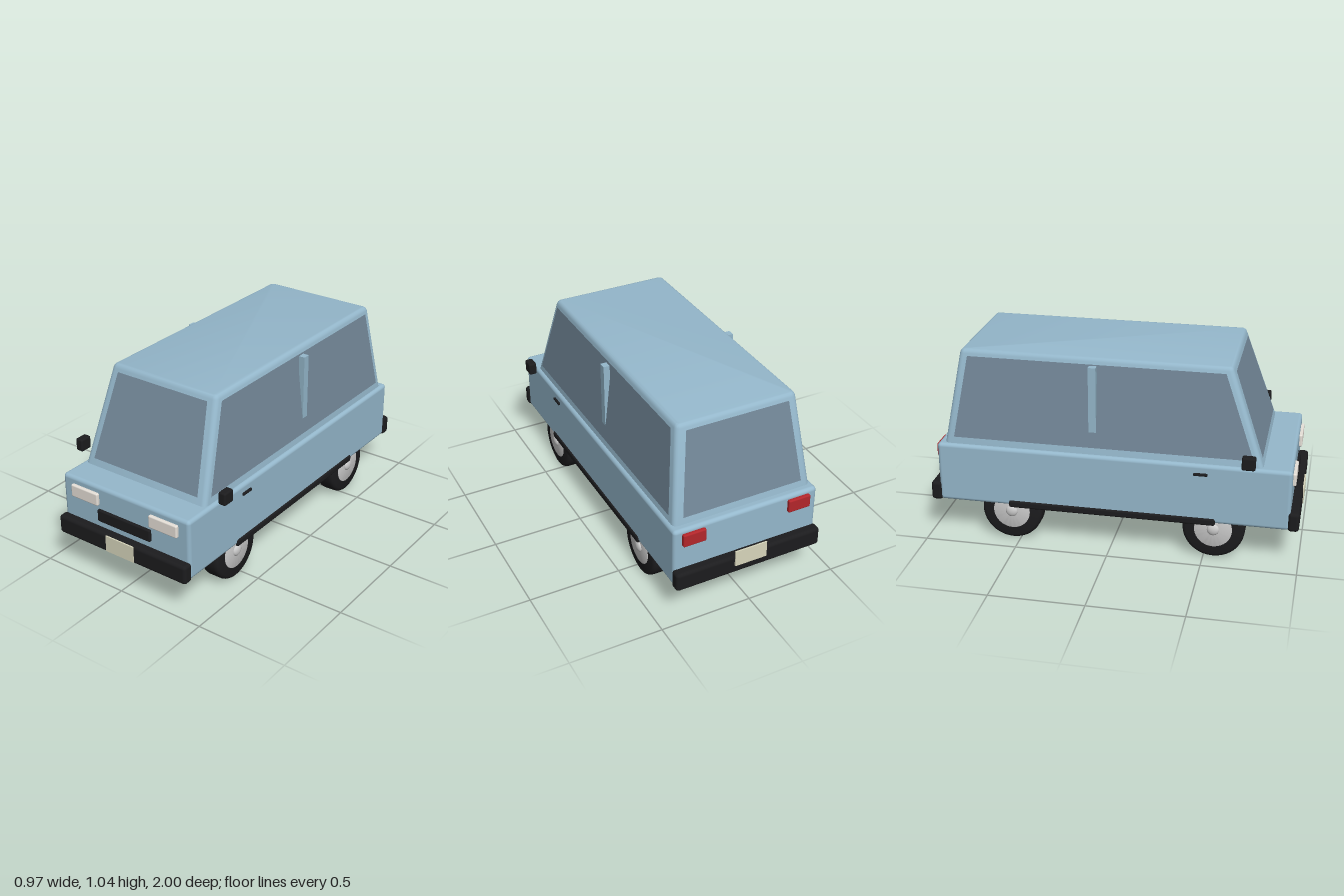
import * as THREE from 'three';
import { toCreasedNormals } from 'three/addons/utils/BufferGeometryUtils.js';
import { RoundedBoxGeometry } from 'three/addons/geometries/RoundedBoxGeometry.js';

const paint = (color, side = THREE.FrontSide) => new THREE.MeshStandardMaterial({ color, side });
const blue = paint(0x95b8cc), glass = paint(0x74899a, THREE.DoubleSide), black = paint(0x1c1c1e);
const cream = paint(0xe6e0d8), red = paint(0xb3262b), plateMat = paint(0xd8d6bc), grey = paint(0xcccccc);

// Cabin outline at a height: half width, front z, rear z
const Y0 = 0.52, Y1 = 1.025;
const cabinAt = (y) => {
  const t = (y - Y0) / (Y1 - Y0), mix = THREE.MathUtils.lerp;
  return { w: mix(0.39, 0.332, t), f: mix(0.8, 0.622, t), r: mix(-0.905, -0.815, t) };
};

// Sloped cabin: rounded rectangles stacked into a shell with a softened roof edge
function cabinGeometry() {
  const seg = 4, rings = [[Y0, 0], [Y1, 0], [1.037, 0.006], [1.043, 0.013], [1.045, 0.022]];
  const pos = [], index = [], n = 4 * (seg + 1);
  for (const [y, inset] of rings) {
    const c = cabinAt(Math.min(y, Y1)), w = c.w - inset, f = c.f - inset, r = c.r + inset;
    const rad = 0.026 - inset * 0.7;
    const corners = [[w, f], [w, r], [-w, r], [-w, f]];
    corners.forEach(([x, z], k) => {
      const cx = x - Math.sign(x) * rad, cz = z - (z > 0 ? rad : -rad);
      for (let i = 0; i <= seg; i++) {
        const a = Math.PI / 2 * (1 - k - i / seg);
        pos.push(cx + rad * Math.cos(a), y, cz + rad * Math.sin(a));
      }
    });
  }
  for (let j = 0; j < rings.length - 1; j++) {
    for (let i = 0; i < n; i++) {
      const a = j * n + i, b = j * n + (i + 1) % n;
      index.push(a, b, b + n, a, b + n, a + n);
    }
  }
  const top = (rings.length - 1) * n;
  for (let i = 1; i < n - 1; i++) index.push(top, top + i, top + i + 1);
  const g = new THREE.BufferGeometry();
  g.setAttribute('position', new THREE.Float32BufferAttribute(pos, 3));
  g.setIndex(index);
  return toCreasedNormals(g, 0.6);
}

// Flat four-cornered pane
function paneGeometry(corners) {
  const g = new THREE.BufferGeometry();
  g.setAttribute('position', new THREE.Float32BufferAttribute(corners.flat(), 3));
  g.setIndex([0, 1, 2, 0, 2, 3]);
  g.computeVertexNormals();
  return g;
}

// Wheel with its outer face towards +x
function makeWheel() {
  const wheel = new THREE.Group();
  const lathe = (name, points, mat) => {
    const g = new THREE.LatheGeometry(points.map((p) => new THREE.Vector2(...p)), 40);
    g.rotateZ(-Math.PI / 2);
    const m = new THREE.Mesh(toCreasedNormals(g, 0.7), mat);
    m.name = name;
    wheel.add(m);
  };
  lathe('tyre', [[0, -0.055], [0.145, -0.055], [0.157, -0.051], [0.163, -0.042], [0.165, -0.03],
    [0.165, 0.03], [0.163, 0.042], [0.157, 0.051], [0.145, 0.055], [0, 0.055]], black);
  lathe('rim', [[0.1, 0.05], [0.1, 0.057], [0.095, 0.059], [0, 0.059]], grey);
  const hub = new THREE.Mesh(new THREE.SphereGeometry(0.033, 20, 14), grey);
  hub.name = 'hubCap';
  hub.scale.x = 0.5;
  hub.position.x = 0.057;
  wheel.add(hub);
  return wheel;
}

export function createModel() {
  const car = new THREE.Group();
  car.name = 'car';
  const add = (name, geometry, mat) => {
    const m = new THREE.Mesh(geometry, mat);
    m.name = name;
    car.add(m);
    return m;
  };
  // Rounded box given by its extents
  const block = (name, [x0, x1], [y0, y1], [z0, z1], radius, mat) =>
    add(name, new RoundedBoxGeometry(x1 - x0, y1 - y0, z1 - z0, 3, radius), mat)
      .position.set((x0 + x1) / 2, (y0 + y1) / 2, (z0 + z1) / 2);
  const plainBox = (name, size, at, mat) =>
    add(name, new THREE.BoxGeometry(...size), mat).position.set(...at);

  // Body and cabin
  block('lowerBody', [-0.408, 0.408], [0.2, 0.533], [-0.942, 0.947], 0.02, blue);
  add('cabin', cabinGeometry(), blue);

  // Windscreen and rear window
  const yb = 0.57, yt = 1.013, b = cabinAt(yb), t = cabinAt(yt), gap = 0.004;
  const crossPane = (zb, zt) => paneGeometry(
    [[-0.335, yb, zb], [0.335, yb, zb], [0.283, yt, zt], [-0.283, yt, zt]]);
  add('windscreen', crossPane(b.f + gap, t.f + gap), glass);
  add('rearWindow', crossPane(b.r - gap, t.r - gap), glass);

  // Bumpers, plates and front fittings
  block('frontBumper', [-0.414, 0.414], [0.197, 0.302], [0.935, 0.994], 0.018, black);
  block('rearBumper', [-0.414, 0.414], [0.197, 0.302], [-0.99, -0.93], 0.018, black);
  plainBox('frontPlate', [0.18, 0.09, 0.008], [0, 0.253, 0.995], plateMat);
  plainBox('rearPlate', [0.18, 0.09, 0.008], [0, 0.293, -0.995], plateMat);
  block('grille', [-0.172, 0.17], [0.337, 0.405], [0.935, 0.962], 0.008, black);

  for (const s of [1, -1]) {
    const label = s > 0 ? 'left' : 'right';
    const span = (a, c) => (s > 0 ? [a, c] : [-c, -a]);

    // Side glass and its pillar
    const xb = s * (b.w + gap), xt = s * (t.w + gap);
    add(label + 'SideWindow', paneGeometry(
      [[xb, yb, 0.745], [xb, yb, -0.85], [xt, yt, -0.77], [xt, yt, 0.585]]), glass);
    plainBox(label + 'Pillar', [0.034, 0.355, 0.04], [s * 0.363, 0.832, -0.097], blue);

    // Lights
    block(label + 'Headlight', span(0.165, 0.342), [0.425, 0.495], [0.935, 0.964], 0.008, cream);
    block(label + 'TailLight', span(0.235, 0.362), [0.437, 0.51], [-0.96, -0.93], 0.008, red);

    // Mirror, door handle and sill
    block(label + 'Mirror', span(0.441, 0.485), [0.557, 0.627], [0.692, 0.762], 0.01, black);
    block(label + 'DoorHandle', span(0.4, 0.419), [0.474, 0.488], [0.44, 0.514], 0.004, black);
    block(label + 'Sill', span(0.378, 0.416), [0.19, 0.231], [-0.555, 0.56], 0.012, black);

    // Wheels
    for (const [end, z] of [['Front', 0.55], ['Rear', -0.543]]) {
      const wheel = makeWheel();
      wheel.name = label + end + 'Wheel';
      wheel.position.set(s * 0.343, 0.165, z);
      if (s < 0) wheel.rotation.y = Math.PI;
      car.add(wheel);
    }
  }
  return car;
}
